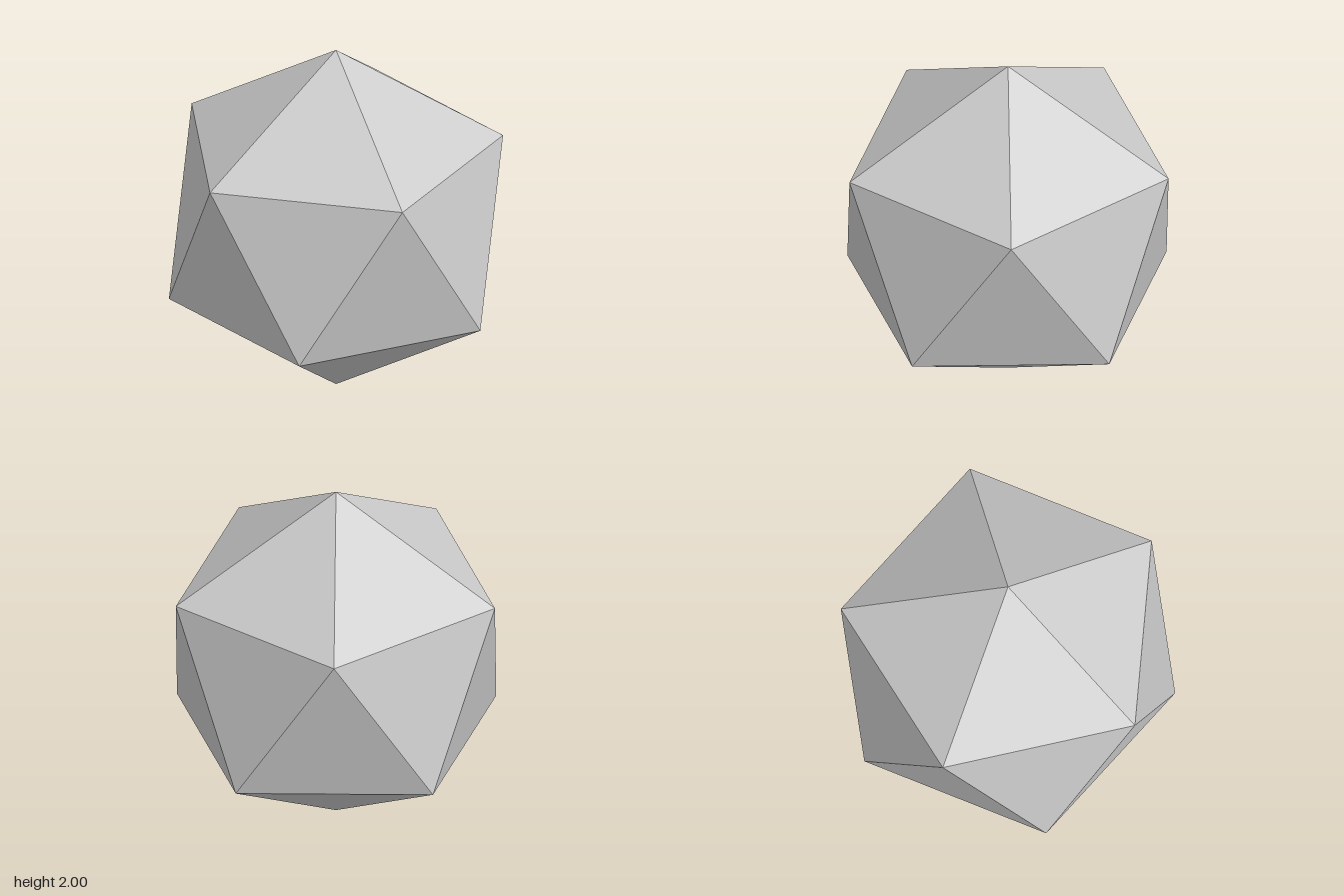
import * as THREE from 'three';

// Outer shape: the 20 face planes of an icosahedron of radius 1 standing on a point
function icosahedronPlanes() {
  const planes = [];
  const inradius = 0.79465;
  for (let k = 0; k < 5; k++) {
    const a = THREE.MathUtils.degToRad(36 + 72 * k);
    for (const elevation of [52.6226, 10.8123]) {
      const e = THREE.MathUtils.degToRad(elevation);
      const n = new THREE.Vector3(Math.cos(e) * Math.cos(a), Math.sin(e), Math.cos(e) * Math.sin(a));
      planes.push({ n, d: inradius }, { n: n.clone().negate(), d: inradius });
    }
  }
  return planes;
}

// Fracture centres: each shard is the part of the solid nearest to its centre
const shards = {
  frontTopShard: [-0.07, 0.19, 0.32],
  rightShard: [0.40, -0.027, 0.104],
  backRightShard: [0.115, 0.138, -0.48],
  leftShard: [-0.455, 0.249, -0.348],
  backLeftShard: [-0.565, 0.30, -0.535],
  frontBottomShard: [0.136, -0.219, 0.276],
  backBottomShard: [0.338, -0.234, -0.041],
  leftBottomShard: [-0.24, -0.03, -0.155],
};

// Plane halfway between two centres, facing away from the first
function bisector(a, b) {
  const n = b.clone().sub(a).normalize();
  return { n, d: n.dot(a.clone().add(b).multiplyScalar(0.5)) };
}

// Convex solid enclosed by planes: find its corners, then fan each face
function convexSolid(planes) {
  const corners = [];
  const cross = new THREE.Vector3();
  for (let i = 0; i < planes.length; i++) {
    for (let j = i + 1; j < planes.length; j++) {
      for (let k = j + 1; k < planes.length; k++) {
        const [p, q, r] = [planes[i], planes[j], planes[k]];
        const det = p.n.dot(cross.crossVectors(q.n, r.n));
        if (Math.abs(det) < 1e-6) continue;
        const v = new THREE.Vector3()
          .addScaledVector(cross, p.d)
          .addScaledVector(new THREE.Vector3().crossVectors(r.n, p.n), q.d)
          .addScaledVector(new THREE.Vector3().crossVectors(p.n, q.n), r.d)
          .divideScalar(det);
        if (planes.some((s) => s.n.dot(v) > s.d + 1e-5)) continue;
        if (!corners.some((c) => c.distanceTo(v) < 1e-4)) corners.push(v);
      }
    }
  }

  const positions = [];
  for (const { n, d } of planes) {
    const face = corners.filter((c) => Math.abs(n.dot(c) - d) < 1e-4);
    if (face.length < 3) continue;
    const mid = face.reduce((sum, c) => sum.add(c), new THREE.Vector3()).divideScalar(face.length);
    const u = face[0].clone().sub(mid).normalize();
    const w = new THREE.Vector3().crossVectors(n, u);
    const angle = (c) => {
      const r = c.clone().sub(mid);
      return Math.atan2(r.dot(w), r.dot(u));
    };
    face.sort((a, b) => angle(a) - angle(b));
    for (let i = 1; i < face.length - 1; i++) {
      for (const c of [face[0], face[i], face[i + 1]]) positions.push(c.x, c.y, c.z);
    }
  }
  const geometry = new THREE.BufferGeometry();
  geometry.setAttribute('position', new THREE.Float32BufferAttribute(positions, 3));
  geometry.computeVertexNormals();
  return geometry;
}

export function createModel() {
  const group = new THREE.Group();
  group.name = 'fracturedIcosahedron';
  const material = new THREE.MeshStandardMaterial({ color: 0xcccccc, flatShading: true });
  const outer = icosahedronPlanes();
  const centres = Object.values(shards).map((s) => new THREE.Vector3(...s));

  Object.keys(shards).forEach((name, i) => {
    const cuts = centres.filter((_, j) => j !== i).map((c) => bisector(centres[i], c));
    const mesh = new THREE.Mesh(convexSolid([...outer, ...cuts]), material);
    mesh.name = name;
    mesh.position.y = 1;
    group.add(mesh);
  });
  return group;
}
